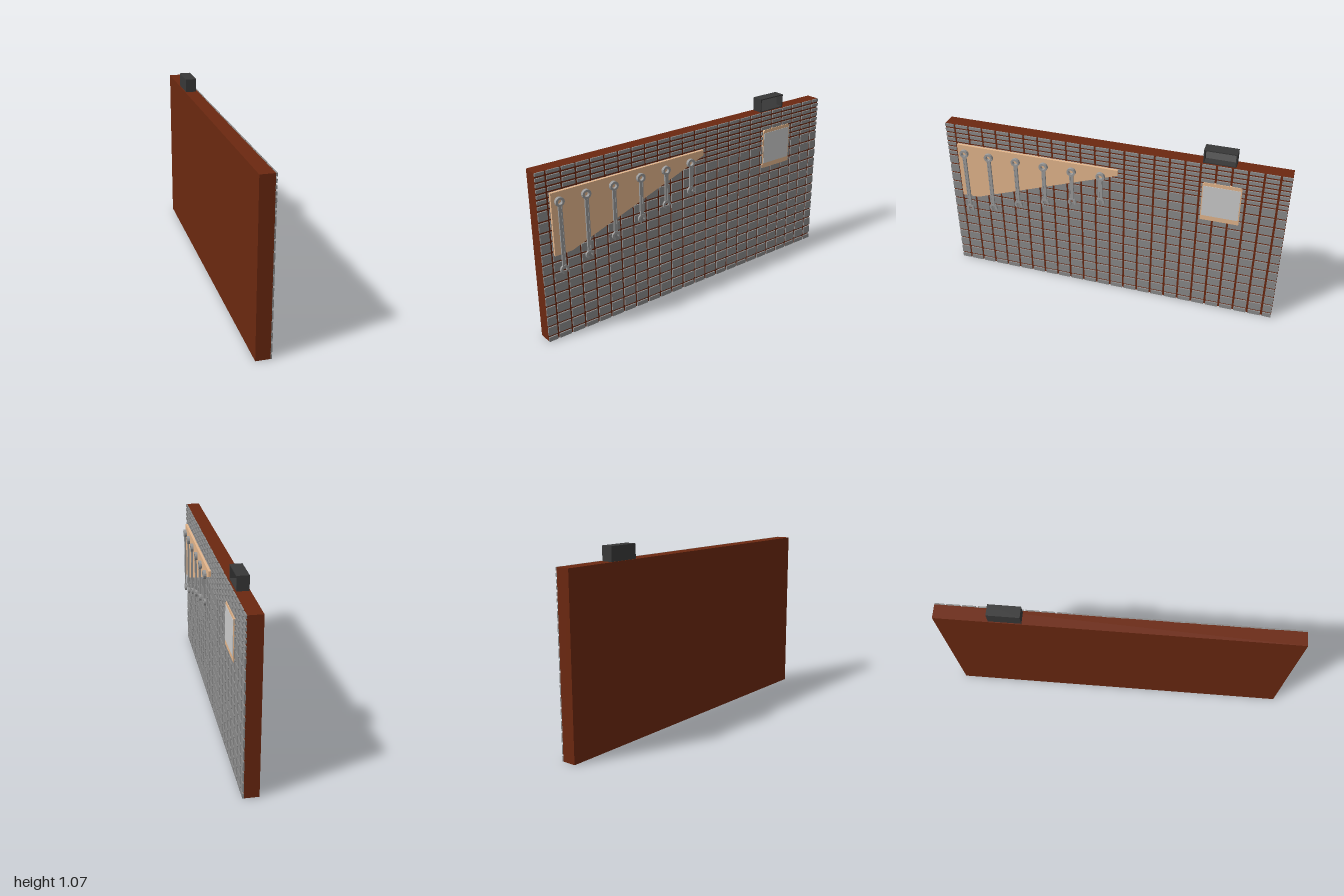
import * as THREE from 'three';
import { mergeGeometries } from 'three/addons/utils/BufferGeometryUtils.js';

const mat = (color) => new THREE.MeshStandardMaterial({ color });
const WOOD = mat(0x6b2810), TILE = mat(0x8a8a8a), TAN = mat(0xe4b68c);
const PAPER = mat(0xc8c8c8), DARK = mat(0x383838), STEEL = mat(0x9a9a9a);

// Box given by its min and max corners
function boxGeo([x0, y0, z0], [x1, y1, z1]) {
  return new THREE.BoxGeometry(x1 - x0, y1 - y0, z1 - z0)
    .translate((x0 + x1) / 2, (y0 + y1) / 2, (z0 + z1) / 2);
}

function addMesh(parent, name, geometry, material) {
  const mesh = new THREE.Mesh(geometry, material);
  mesh.name = name;
  parent.add(mesh);
  return mesh;
}

// Extrude a shape drawn in (-z, y) from x0 to x1
function plateGeo(shape, x0, x1) {
  return new THREE.ExtrudeGeometry(shape, { depth: x1 - x0, bevelEnabled: false, curveSegments: 8 })
    .rotateY(Math.PI / 2).translate(x0, 0, 0);
}

const polygon = (points) => new THREE.Shape(points.map(([u, y]) => new THREE.Vector2(u, y)));

// Raised tiles with narrow gaps between them
function tilesGeo() {
  const cols = [-1], rows = [0], gap = 0.006, tiles = [];
  for (let i = 0; i < 23; i++) cols.push(-0.942 + i * 0.0856);
  cols.push(1);
  for (let i = 0; i < 13; i++) rows.push(0.032 + i * 0.062);
  for (let i = 1; i < 7; i++) rows.push(0.776 + i * 0.031);
  rows.push(0.985);
  for (let c = 0; c < cols.length - 1; c++) {
    for (let r = 0; r < rows.length - 1; r++) {
      const z0 = cols[c] + (c ? gap : 0), z1 = cols[c + 1] - (c < cols.length - 2 ? gap : 0);
      const y0 = rows[r] + (r ? gap : 0), y1 = rows[r + 1] - (r < rows.length - 2 ? gap : 0);
      tiles.push(boxGeo([0.019, y0, z0], [0.028, y1, z1]));
    }
  }
  return mergeGeometries(tiles);
}

// Spanner: ring at the top, open jaw at the bottom
function makeWrench(z, bottom) {
  const g = new THREE.Group();
  g.name = 'wrench';
  const ringY = 0.812, jawY = bottom + 0.024;

  const ring = new THREE.Shape().absarc(0, ringY, 0.026, 0, Math.PI * 2);
  ring.holes.push(new THREE.Path().absarc(0, ringY, 0.014, 0, Math.PI * 2, true));
  addMesh(g, 'ringEnd', plateGeo(ring, 0.043, 0.06), STEEL);

  // Handle with a raised rib on each edge
  const handle = [boxGeo([0.049, jawY + 0.015, -0.009], [0.055, ringY - 0.018, 0.009])];
  for (const s of [-1, 1]) {
    handle.push(boxGeo([0.047, jawY + 0.015, s * 0.008 - 0.003], [0.057, ringY - 0.018, s * 0.008 + 0.003]));
  }
  addMesh(g, 'handle', mergeGeometries(handle), STEEL);

  // Crescent jaw, turned slightly to one side
  const tilt = -Math.PI / 2 + 0.25, open = 0.55, jaw = new THREE.Shape();
  jaw.absarc(0, jawY, 0.025, tilt + open, tilt + Math.PI * 2 - open, false);
  jaw.absarc(0, jawY, 0.012, tilt + Math.PI * 2 - open * 1.6, tilt + open * 1.6, true);
  addMesh(g, 'openJaw', plateGeo(jaw, 0.046, 0.058), STEEL);

  g.position.z = z;
  return g;
}

export function createModel() {
  const model = new THREE.Group();
  model.name = 'toolWall';

  addMesh(model, 'wall', boxGeo([-0.06, 0, -1], [0.02, 0.985, 1]), WOOD);
  addMesh(model, 'wallTiles', tilesGeo(), TILE);

  // Tapered tool holder
  const holder = polygon([[-0.932, 0.51], [-0.83, 0.512], [-0.78, 0.53], [0.052, 0.832], [0.052, 0.865], [-0.932, 0.865]]);
  addMesh(model, 'toolHolder', plateGeo(holder, 0.028, 0.043), TAN);

  // Row of wrenches, longest first
  const bottoms = [0.4, 0.437, 0.495, 0.545, 0.582, 0.62];
  [0.888, 0.732, 0.563, 0.39, 0.22, 0.047].forEach((z, i) => model.add(makeWrench(z, bottoms[i])));

  // Notice board with its sheet
  const notice = polygon([[0.53, 0.63], [0.748, 0.63], [0.748, 0.862], [0.735, 0.875], [0.543, 0.875], [0.53, 0.862]]);
  addMesh(model, 'noticeBoard', plateGeo(notice, 0.02, 0.032), TAN);
  addMesh(model, 'noticeSheet', boxGeo([0.03, 0.66, -0.742], [0.034, 0.855, -0.536]), PAPER);

  // Open-fronted box on top of the wall
  const [x0, x1, y0, y1, z0, z1, t] = [-0.055, 0.01, 0.985, 1.065, -0.7, -0.52, 0.006];
  addMesh(model, 'topBox', mergeGeometries([
    boxGeo([x0, y0, z0], [x0 + t, y1, z1]),
    boxGeo([x0, y0, z0], [x1, y0 + t, z1]),
    boxGeo([x0, y1 - t, z0], [x1, y1, z1]),
    boxGeo([x0, y0, z0], [x1, y1, z0 + t]),
    boxGeo([x0, y0, z1 - t], [x1, y1, z1]),
  ]), DARK);
  addMesh(model, 'topBoxPanel', boxGeo([x0 + t, y0 + t, z0 + t], [x0 + 0.02, y1 - t, z1 - t]), mat(0x626262));

  return model;
}
